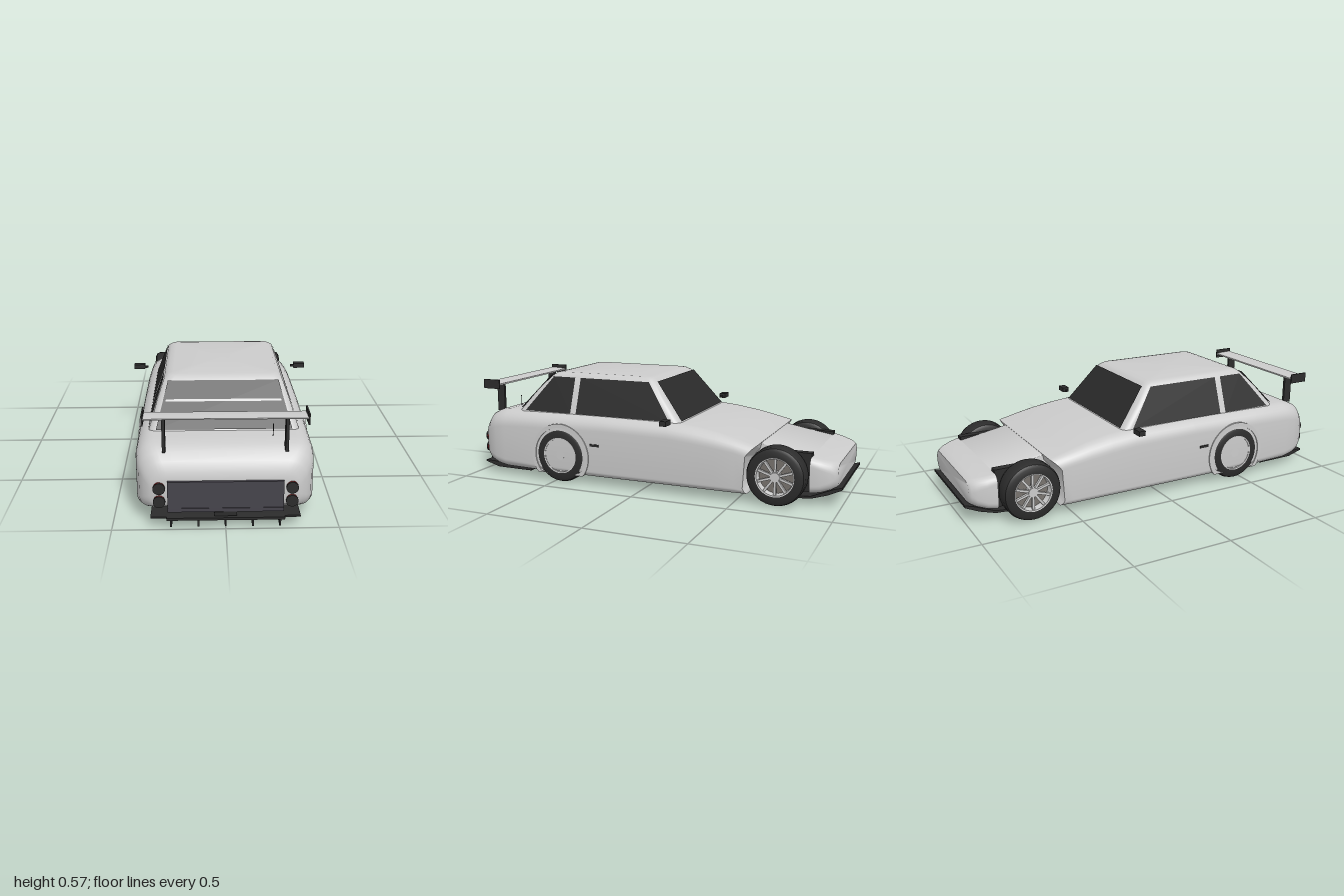
import * as THREE from 'three';
import { toCreasedNormals } from 'three/addons/utils/BufferGeometryUtils.js';

const mat = (color) => new THREE.MeshStandardMaterial({ color, roughness: 0.7, side: THREE.DoubleSide });
const GREY = mat(0xcccccc), DARK = mat(0x2c2c2c), GLASS = mat(0x2a2a2a), PANEL = mat(0x46444c), RED = mat(0x8a1515);

// Rounded rectangle outline: half width w, from b up to t, top and bottom corner radii
function section(w, b, t, rt, rb) {
  const pts = [];
  const corners = [[1, -1, -90], [1, 1, 0], [-1, 1, 90], [-1, -1, 180]];
  for (const [sx, sy, start] of corners) {
    const r = Math.min(sy > 0 ? rt : rb, (t - b) * 0.49);
    for (let k = 0; k <= 7; k++) {
      const a = THREE.MathUtils.degToRad(start + (k * 90) / 7);
      pts.push([sx * (w - r) + r * Math.cos(a), (sy > 0 ? t - r : b + r) + r * Math.sin(a)]);
    }
  }
  return pts;
}

// Skin over stations [z, w, b, t, rt, rb] with falling z; warp may move the points
function loft(stations, warp = (x, y, z) => [x, y, z]) {
  const pos = [], idx = [];
  const rings = stations.map(([z, ...s]) => section(...s).map(([x, y]) => warp(x, y, z)));
  const n = rings[0].length;
  rings.forEach((r) => r.forEach((p) => pos.push(...p)));
  for (let i = 0; i < rings.length - 1; i++) {
    for (let j = 0; j < n; j++) {
      const a = i * n + j, b = i * n + ((j + 1) % n);
      idx.push(a, a + n, b, b, a + n, b + n);
    }
  }
  [0, rings.length - 1].forEach((i) => {
    const base = pos.length / 3, ring = rings[i];
    ring.forEach((p) => pos.push(...p));
    const c = [0, 1, 2].map((k) => ring.reduce((s, p) => s + p[k], 0) / n);
    pos.push(...c);
    for (let j = 0; j < n; j++) {
      const a = base + j, b = base + ((j + 1) % n);
      if (i === 0) idx.push(base + n, a, b); else idx.push(base + n, b, a);
    }
  });
  const g = new THREE.BufferGeometry();
  g.setAttribute('position', new THREE.Float32BufferAttribute(pos, 3));
  g.setIndex(idx);
  return toCreasedNormals(g, 0.7);
}

// Side outline of [z, y] points extruded across the car
function sidePlate(points, width, x = 0) {
  const shape = new THREE.Shape(points.map((p) => new THREE.Vector2(...p)));
  const g = new THREE.ExtrudeGeometry(shape, { depth: width, bevelEnabled: false });
  return g.translate(0, 0, -width / 2).rotateY(-Math.PI / 2).translate(x, 0, 0);
}

// Flat four-cornered pane
function pane(a, b, c, d) {
  const g = new THREE.BufferGeometry();
  g.setAttribute('position', new THREE.Float32BufferAttribute([a, b, c, d].flat(), 3));
  g.setIndex([0, 1, 2, 0, 2, 3]);
  g.computeVertexNormals();
  return g;
}

function makeWheel(width) {
  const wheel = new THREE.Group(), h = width / 2;
  const add = (name, g, m) => {
    const o = new THREE.Mesh(g, m);
    o.name = name;
    wheel.add(o);
  };
  const turn = (pts) => toCreasedNormals(
    new THREE.LatheGeometry(pts.map((p) => new THREE.Vector2(...p)), 40).rotateZ(-Math.PI / 2), 0.6);
  add('tyre', turn([[0.096, -h], [0.125, -h], [0.139, -h + 0.008], [0.145, -h + 0.024],
    [0.145, h - 0.024], [0.139, h - 0.008], [0.125, h], [0.096, h]]), DARK);
  add('rim', turn([[0.088, -h], [0.098, -h], [0.098, h - 0.002], [0.09, h - 0.003], [0.086, h - 0.04]]), GREY);
  add('wheelBack', new THREE.CylinderGeometry(0.09, 0.09, 0.012, 32).rotateZ(Math.PI / 2).translate(h - 0.05, 0, 0), mat(0x77736e));
  add('hub', new THREE.CylinderGeometry(0.024, 0.024, 0.045, 20).rotateZ(Math.PI / 2).translate(h - 0.027, 0, 0), GREY);
  for (let i = 0; i < 10; i++) {
    add('spoke', new THREE.BoxGeometry(0.014, 0.075, 0.012).translate(h - 0.016, 0.052, 0).rotateX((i * Math.PI) / 5), GREY);
  }
  return wheel;
}

export function createModel() {
  const car = new THREE.Group();
  const add = (name, g, m = GREY) => {
    const o = new THREE.Mesh(g, m);
    o.name = name;
    car.add(o);
    return o;
  };
  const box = (name, w, h, d, x, y, z, m = DARK) => add(name, new THREE.BoxGeometry(w, h, d).translate(x, y, z), m);

  // Main body; its nose end follows the front wheel arch
  add('body', loft([
    [0.972, 0.3, 0.13, 0.23, 0.05, 0.05], [0.965, 0.33, 0.105, 0.265, 0.07, 0.05],
    [0.945, 0.358, 0.09, 0.305, 0.08, 0.05], [0.915, 0.38, 0.075, 0.337, 0.085, 0.05],
    [0.87, 0.394, 0.06, 0.357, 0.085, 0.05], [0.81, 0.4, 0.052, 0.366, 0.085, 0.045],
    [0.6, 0.4, 0.05, 0.368, 0.08, 0.035], [0.2, 0.4, 0.05, 0.368, 0.07, 0.03],
    [-0.15, 0.4, 0.05, 0.366, 0.075, 0.03], [-0.28, 0.4, 0.05, 0.354, 0.075, 0.03],
    [-0.4, 0.4, 0.05, 0.335, 0.07, 0.03], [-0.5, 0.4, 0.05, 0.312, 0.06, 0.03],
    [-0.6, 0.396, 0.05, 0.288, 0.05, 0.03],
  ], (x, y, z) => [x, y, z > -0.55 ? z : -0.7 + Math.sqrt(Math.max(0.0081, 0.029 - (y - 0.15) ** 2))]));
  // Narrow tub between the open front wheels, then the wider nose
  add('frontTub', loft([
    [-0.48, 0.26, 0.055, 0.3, 0.01, 0.01], [-0.595, 0.26, 0.055, 0.287, 0.01, 0.01],
    [-0.72, 0.26, 0.055, 0.264, 0.01, 0.01], [-0.87, 0.26, 0.065, 0.239, 0.01, 0.01],
  ]));
  add('nose', loft([
    [-0.852, 0.325, 0.065, 0.243, 0.04, 0.04], [-0.9, 0.318, 0.072, 0.234, 0.045, 0.04],
    [-0.945, 0.302, 0.085, 0.224, 0.05, 0.045], [-0.968, 0.285, 0.095, 0.217, 0.055, 0.05],
    [-0.978, 0.272, 0.102, 0.21, 0.052, 0.052],
  ]));

  // Cabin, skinned from the roof downwards
  add('cabin', loft([
    [0.573, 0.235, -0.54, -0.015, 0.03, 0.03], [0.569, 0.258, -0.56, 0.01, 0.035, 0.035],
    [0.555, 0.276, -0.58, 0.035, 0.04, 0.04], [0.48, 0.305, -0.655, 0.092, 0.04, 0.04],
    [0.35, 0.348, -0.76, 0.205, 0.04, 0.04],
  ]).rotateX(-Math.PI / 2));
  add('windscreen', pane([-0.31, 0.368, -0.196], [0.31, 0.368, -0.196], [0.258, 0.554, -0.042], [-0.258, 0.554, -0.042]), GLASS);
  add('rearWindow', pane([-0.31, 0.374, 0.75], [0.31, 0.374, 0.75], [0.258, 0.554, 0.588], [-0.258, 0.554, 0.588]), GLASS);

  for (const s of [1, -1]) {
    // Side glass, split by the door pillar
    const glass = (zb0, zb1, zt0, zt1) => pane([s * 0.346, 0.368, zb0], [s * 0.346, 0.368, zb1],
      [s * 0.281, 0.552, zt1], [s * 0.281, 0.552, zt0]);
    add('doorWindow', glass(-0.14, 0.392, -0.004, 0.392), GLASS);
    add('quarterWindow', glass(0.425, 0.7, 0.425, 0.555), GLASS);

    // Wheels with the rear arch lip and front inner liner
    for (const [name, x, z, w] of [['rearWheel', 0.347, 0.46, 0.116], ['frontWheel', 0.337, -0.7, 0.106]]) {
      const wheel = makeWheel(w);
      wheel.name = name;
      wheel.position.set(s * x, 0.15, z);
      if (s < 0) wheel.rotation.y = Math.PI;
      car.add(wheel);
    }
    const lip = new THREE.Shape().absarc(0, 0, 0.17, 0, Math.PI * 2);
    lip.holes.push(new THREE.Path().absarc(0, 0, 0.148, 0, Math.PI * 2, true));
    const lipGeo = new THREE.ExtrudeGeometry(lip, { depth: 0.016, bevelEnabled: false, curveSegments: 24 });
    // Lip stops at the sill so it does not hang below the body
    const p = lipGeo.attributes.position;
    for (let i = 0; i < p.count; i++) p.setY(i, Math.max(p.getY(i), -0.1));
    add('rearArchLip', lipGeo.translate(0, 0, -0.008).rotateY(Math.PI / 2).translate(s * 0.397, 0.15, 0.46));
    box('frontWheelLiner', 0.04, 0.19, 0.165, s * 0.268, 0.165, -0.772);

    // Mirrors and door handles
    box('mirror', 0.06, 0.025, 0.035, s * 0.449, 0.384, -0.163);
    box('mirrorStalk', 0.02, 0.01, 0.014, s * 0.412, 0.381, -0.16);
    box('doorHandle', 0.008, 0.012, 0.05, s * 0.401, 0.222, 0.255);

    // Round tail lamps in pairs
    for (const y of [0.195, 0.132]) {
      const lamp = (name, r, d, z, m) => add(name,
        new THREE.CylinderGeometry(r, r, d, 28).rotateX(Math.PI / 2).translate(s * 0.29, y, z), m);
      lamp('tailLampBody', 0.025, 0.03, 0.967, RED);
      lamp('tailLampLens', 0.027, 0.008, 0.985, DARK);
    }
    // Wing supports and end plates
    box('wingStrut', 0.014, 0.16, 0.045, s * 0.268, 0.42, 0.905);
    box('wingEndPlate', 0.007, 0.05, 0.1, s * 0.356, 0.5, 0.905);
  }

  // Rear wing blade
  add('wingBlade', sidePlate([[0.857, 0.494], [0.9, 0.496], [0.952, 0.502], [0.952, 0.507], [0.9, 0.506], [0.857, 0.502]], 0.71));

  // Tail panel, bumper strip and plate lamp box
  box('tailPanel', 0.508, 0.127, 0.03, 0, 0.163, 0.97, PANEL);
  box('tailStrip', 0.508, 0.018, 0.04, 0, 0.092, 0.968, PANEL);
  box('towBox', 0.1, 0.02, 0.04, 0, 0.074, 0.97);

  // Diffuser with fins
  add('diffuser', sidePlate([[0.69, 0.026], [0.9, 0.028], [0.985, 0.052], [0.985, 0.06], [0.88, 0.056], [0.69, 0.05]], 0.66), DARK);
  box('diffuserLip', 0.52, 0.012, 0.04, 0, 0.054, 0.98);
  for (let i = -2; i <= 2; i++) {
    add('diffuserFin', sidePlate([[0.9, 0.012], [0.99, 0.012], [0.99, 0.054], [0.9, 0.04]], 0.008, i * 0.12), DARK);
  }

  // Front splitter sweeping up to the nose
  add('splitter', sidePlate([[-0.76, 0.024], [-0.85, 0.03], [-0.93, 0.055], [-1, 0.088], [-1, 0.1],
    [-0.96, 0.088], [-0.85, 0.042], [-0.76, 0.034]].reverse(), 0.53), DARK);
  box('splitterMount', 0.4, 0.06, 0.03, 0, 0.065, -0.87);

  // Aerial
  add('aerial', new THREE.CylinderGeometry(0.002, 0.002, 0.06, 8).translate(0.217, 0.393, 0.81), DARK);
  return car;
}
